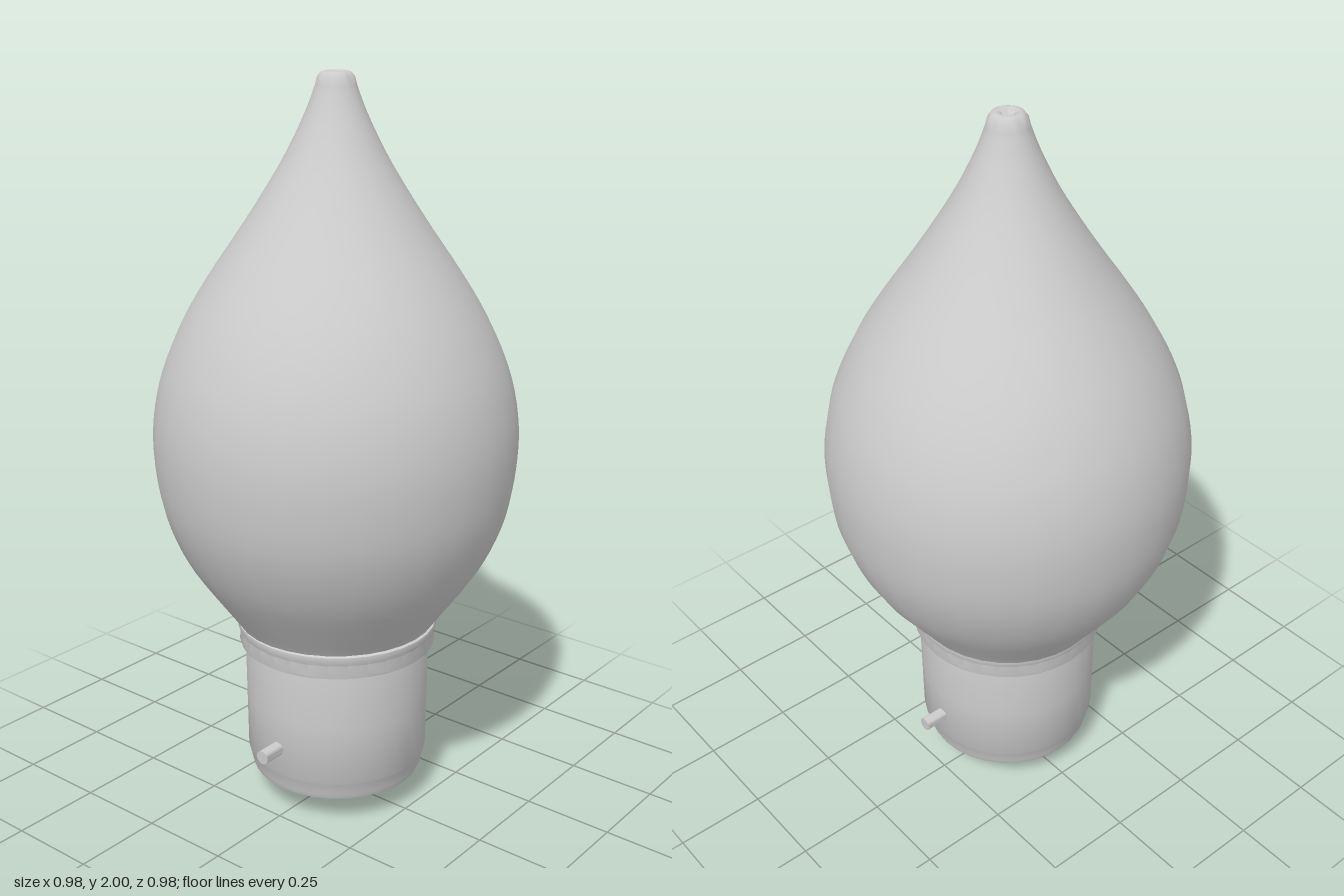
import * as THREE from 'three';
import { toCreasedNormals } from 'three/addons/utils/BufferGeometryUtils.js';

const material = new THREE.MeshStandardMaterial({ color: 0xcccccc, side: THREE.DoubleSide });

function addMesh(parent, name, geometry) {
  const mesh = new THREE.Mesh(geometry, material);
  mesh.name = name;
  parent.add(mesh);
  return mesh;
}

// Round part from [radius, height] pairs listed from bottom to top
function turned(profile, crease = 0.6) {
  const points = profile.map(([r, y]) => new THREE.Vector2(r, y));
  return toCreasedNormals(new THREE.LatheGeometry(points, 32), crease);
}

export function createModel() {
  const model = new THREE.Group();
  model.name = 'flameBulb';

  // Flame-shaped glass: smooth curve from neck to tip
  const outline = new THREE.SplineCurve([
    [0.25, 0.49], [0.278, 0.535], [0.325, 0.6], [0.395, 0.7], [0.444, 0.8],
    [0.474, 0.9], [0.487, 1.02], [0.483, 1.12], [0.463, 1.22], [0.43, 1.31],
    [0.385, 1.4], [0.322, 1.5], [0.253, 1.6], [0.187, 1.7], [0.127, 1.8],
    [0.078, 1.9], [0.053, 1.965],
  ].map(([r, y]) => new THREE.Vector2(r, y)));
  // Rounded tip with a small dimple
  const tip = [[0.048, 1.985], [0.038, 1.997], [0.028, 2], [0.016, 1.994], [0.008, 1.984], [0, 1.982]];
  const glass = [...outline.getPoints(48).map((p) => [p.x, p.y]), ...tip];
  addMesh(model, 'glassBulb', turned(glass, 1.2));

  // Metal cap, set very slightly off the glass axis
  const cap = new THREE.Group();
  cap.name = 'cap';
  cap.position.set(-0.003, 0, 0.006);
  model.add(cap);

  addMesh(cap, 'capShell', turned([
    [0, 0.078], [0.225, 0.078], [0.237, 0.084], [0.243, 0.1], [0.247, 0.13],
    [0.252, 0.138], [0.254, 0.3], [0.256, 0.47], [0.25, 0.5],
  ]));
  addMesh(cap, 'collar', turned([
    [0.25, 0.463], [0.27, 0.463], [0.272, 0.47], [0.269, 0.5],
    [0.276, 0.513], [0.275, 0.526], [0.266, 0.53], [0.25, 0.525],
  ]));

  // Stepped contact under the cap
  addMesh(cap, 'insulator', turned([
    [0, 0.03], [0.07, 0.031], [0.098, 0.037], [0.107, 0.048], [0.11, 0.062], [0.122, 0.068], [0.122, 0.08],
  ]));
  const contact = addMesh(cap, 'contact', turned([
    [0, 0], [0.03, 0.003], [0.055, 0.01], [0.07, 0.02], [0.07, 0.035],
  ]));
  contact.scale.set(0.7, 1, 1.12);

  // Bayonet pins on both sides
  for (const side of [1, -1]) {
    const pin = addMesh(cap, side > 0 ? 'leftPin' : 'rightPin',
      toCreasedNormals(new THREE.CylinderGeometry(0.019, 0.019, 0.1, 16), 0.8));
    pin.rotation.z = Math.PI / 2;
    pin.position.set(side * 0.267, 0.215, -0.004);
  }
  return model;
}
